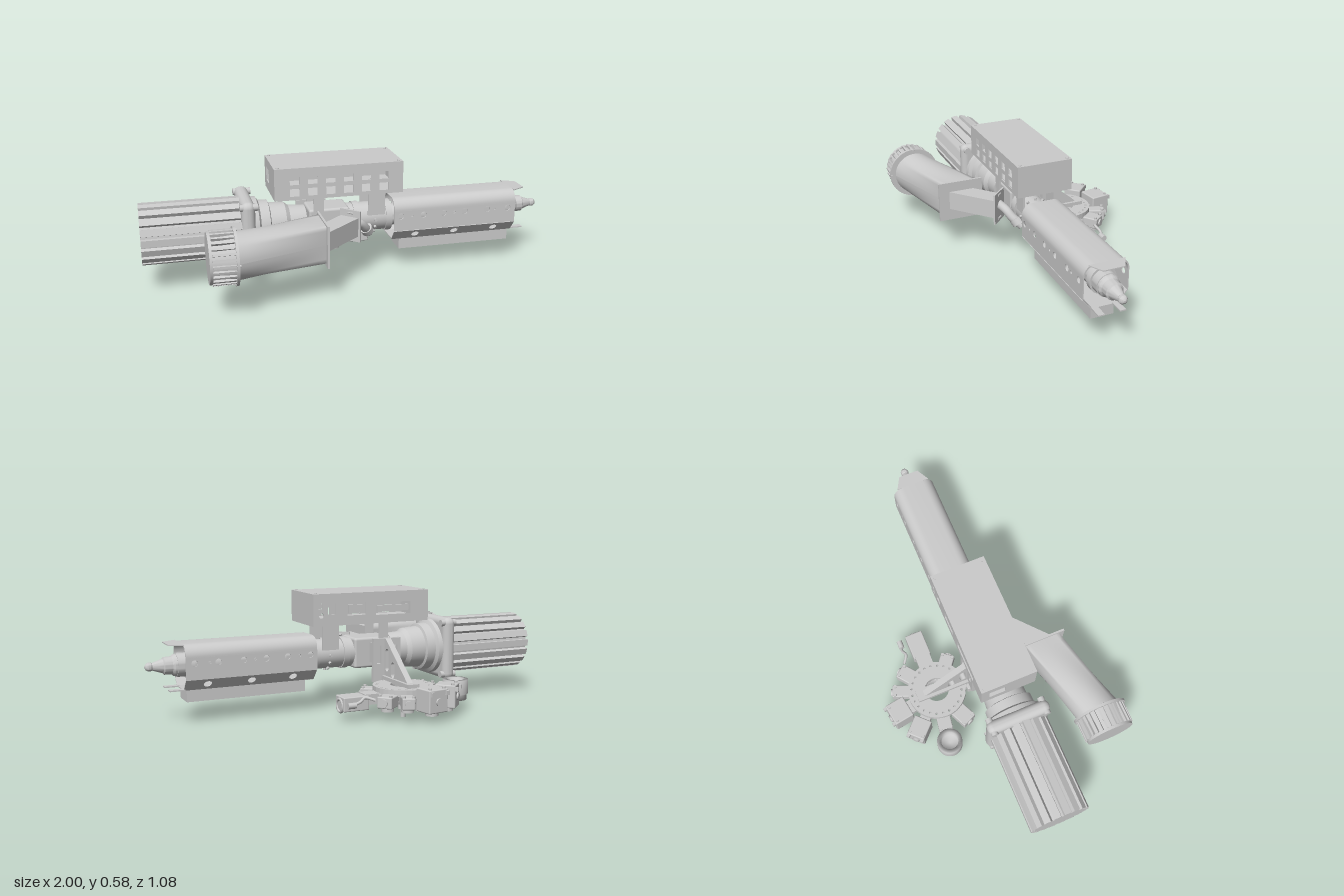
import * as THREE from 'three';
import { RoundedBoxGeometry } from 'three/addons/geometries/RoundedBoxGeometry.js';
import { toCreasedNormals } from 'three/addons/utils/BufferGeometryUtils.js';

const AY = 0.267, AZ = 0.015; // drive axis, running along x
const mat = new THREE.MeshStandardMaterial({ color: 0xcccccc, side: THREE.DoubleSide });

function add(parent, name, geo, x = 0, y = 0, z = 0, rx = 0, ry = 0, rz = 0) {
  const m = new THREE.Mesh(geo, mat);
  m.name = name;
  m.position.set(x, y, z);
  m.rotation.set(rx, ry, rz);
  parent.add(m);
  return m;
}
function group(parent, name, x = 0, y = 0, z = 0, ry = 0) {
  const g = new THREE.Group();
  g.name = name;
  g.position.set(x, y, z);
  g.rotation.y = ry;
  parent.add(g);
  return g;
}
const box = (w, h, d) => new THREE.BoxGeometry(w, h, d);
const cyl = (r, h, r2 = r, n = 28) => new THREE.CylinderGeometry(r, r2, h, n);
const poly = pts => new THREE.Shape(pts.map(p => new THREE.Vector2(...p)));
const extrude = (shape, depth) =>
  new THREE.ExtrudeGeometry(shape, { depth, bevelEnabled: false, curveSegments: 16 });
// Extrusion along +x; the shape's first coordinate is -z
const extrudeX = (shape, depth) => extrude(shape, depth).rotateY(Math.PI / 2);
// Turned part along x from [x, radius] pairs
const turned = pts => toCreasedNormals(new THREE.LatheGeometry(
  pts.map(([x, r]) => new THREE.Vector2(r, x)), 40).rotateZ(-Math.PI / 2), 0.5);
// Flat sheet with rectangular [x,y,w,h] or round [x,y,r] holes
function sheet(x0, y0, x1, y1, holes, t) {
  const s = poly([[x0, y0], [x1, y0], [x1, y1], [x0, y1]]);
  for (const [x, y, w, h] of holes) {
    const p = new THREE.Path();
    if (h) p.setFromPoints([[-1, -1], [-1, 1], [1, 1], [1, -1]].map(([a, b]) =>
      new THREE.Vector2(x + a * w / 2, y + b * h / 2)));
    else p.absarc(x, y, w, 0, Math.PI * 2, true);
    s.holes.push(p);
  }
  return extrude(s, t);
}

function buildDrive(root) {
  const g = group(root, 'drive', 0, AY, AZ);
  // Finned motor
  const n = 18, pts = [];
  for (let i = 0; i < n; i++)
    for (const [o, r] of [[-0.32, 0.146], [0.32, 0.146], [0.38, 0.127], [0.62, 0.127]]) {
      const a = (i + o) / n * Math.PI * 2;
      pts.push([r * Math.cos(a), r * Math.sin(a)]);
    }
  add(g, 'finnedMotor', extrudeX(poly(pts), 0.47), -1);
  // Square flange with corner bolts
  add(g, 'motorFlange', new RoundedBoxGeometry(0.065, 0.315, 0.315, 4, 0.03), -0.508);
  for (const sy of [-1, 1]) for (const sz of [-1, 1])
    add(g, 'flangeBolt', cyl(0.017, 0.085, 0.017, 12), -0.505, sy * 0.132, sz * 0.132, 0, 0, Math.PI / 2);
  add(g, 'gearbox', turned([[-0.48, 0], [-0.48, 0.14], [-0.455, 0.137], [-0.445, 0.12], [-0.4, 0.118],
    [-0.395, 0.105], [-0.32, 0.1], [-0.3, 0.085], [-0.22, 0.08], [-0.22, 0]]));
  add(g, 'feedBlock', new RoundedBoxGeometry(0.2, 0.15, 0.15, 3, 0.012), -0.11);
  // Barrel with heater bands and nozzle
  add(g, 'barrel', turned([[-0.02, 0], [-0.02, 0.072], [0.2, 0.072], [0.2, 0.055], [0.86, 0.055], [0.86, 0]]));
  for (const x of [0.03, 0.19, 0.36, 0.52, 0.68, 0.8])
    add(g, 'heaterBand', cyl(x < 0.2 ? 0.078 : 0.064, 0.03), x, 0, 0, 0, 0, Math.PI / 2);
  add(g, 'nozzle', turned([[0.84, 0.055], [0.87, 0.05], [0.88, 0.042], [0.915, 0.04], [0.92, 0.033],
    [0.968, 0.017], [0.972, 0.02], [0.985, 0.02], [0.995, 0.013], [1, 0.005], [1, 0]]));
  for (let i = 0; i < 6; i++)
    add(g, 'barrelBolt', cyl(0.007, 0.165, 0.007, 10), 0.12, 0, 0, i * Math.PI / 6);
}

function buildCover(root) {
  const g = group(root, 'barrelCover', 0, 0, AZ);
  // Rounded top band
  const band = (hw, top, inner) => {
    const s = [[hw, 0.31]];
    for (let i = 0; i <= 8; i++) {
      const a = i / 8 * Math.PI / 2;
      s.push([hw - 0.055 + 0.055 * Math.cos(a), top - 0.055 + 0.055 * Math.sin(a)]);
    }
    const all = s.concat(s.map(([x, y]) => [-x, y]).reverse());
    return inner ? all.reverse() : all;
  };
  const ring = band(0.107, 0.37).concat(band(0.102, 0.365, true));
  add(g, 'coverTop', toCreasedNormals(extrudeX(poly(ring), 0.635), 0.5), 0.205);
  add(g, 'coverLip', extrude(poly([[0.84, 0.085], [0.905, 0.05], [0.905, -0.05], [0.84, -0.085]]), 0.005),
    0, 0.37, 0, Math.PI / 2);
  // Perforated sides and slanted lower panels
  const holes = [0.24, 0.355, 0.46, 0.57, 0.69, 0.8].map(x => [x, 0.285, 0.015])
    .concat([0.295, 0.515, 0.73].map(x => [x, 0.285, 0.007]));
  const low = [0.32, 0.525, 0.735].map(x => [x, 0.035, 0.019]);
  for (const s of [-1, 1]) {
    add(g, 'coverSide', sheet(0.205, 0.21, 0.84, 0.312, holes, 0.005), 0, 0, s > 0 ? 0.102 : -0.107);
    add(g, 'coverLowerPanel', sheet(0.205, 0, 0.84, 0.07, low, 0.004), 0, 0.157, s * 0.06, s * 0.7);
    add(g, 'coverEndRim', box(0.07, 0.006, 0.03), 0.87, 0.16, s * 0.05);
  }
  add(g, 'coverFloor', box(0.635, 0.005, 0.12), 0.523, 0.158);
  add(g, 'lowerDuct', box(0.58, 0.058, 0.11), 0.535, 0.129, 0.005);
}

function buildControlBox(root) {
  const g = group(root, 'controlBox');
  const x0 = -0.385, x1 = 0.235, y0 = 0.42, y1 = 0.573, z0 = -0.12, z1 = 0.153, t = 0.006;
  const windows = [];
  for (let i = 0; i < 6; i++) for (const y of [0.456, 0.512]) windows.push([-0.29 + i * 0.086, y, 0.045, 0.037]);
  add(g, 'frontPanel', sheet(x0, y0, x1, y1, windows, t), 0, 0, z1 - t);
  add(g, 'backPanel', sheet(x0, y0, x1, y1, [[0.2, 0.515, 0.02, 0.03], [0.195, 0.47, 0.012], [0.14, 0.5, 0.04, 0.05],
    [0.01, 0.495, 0.1, 0.06], [-0.19, 0.49, 0.19, 0.06]], t), 0, 0, z0);
  add(g, 'socketInsert', box(0.08, 0.04, 0.012), 0.01, 0.495, z0 + 0.01);
  add(g, 'slotInsert', box(0.17, 0.03, 0.012), -0.19, 0.49, z0 + 0.01);
  add(g, 'endPanel', sheet(z0, y0, z1, y1, [[-0.04, 0.495, 0.08, 0.065]], t), x0, 0, 0, 0, -Math.PI / 2).position.x = x0 + t;
  add(g, 'plainEndPanel', box(t, y1 - y0, z1 - z0), x1 - t / 2, (y0 + y1) / 2, (z0 + z1) / 2);
  add(g, 'lid', box(x1 - x0, t, z1 - z0), (x0 + x1) / 2, y1 - t / 2, (z0 + z1) / 2);
  add(g, 'floor', box(x1 - x0 - 0.02, t, z1 - z0 - 0.02), (x0 + x1) / 2, y0 + 0.012, (z0 + z1) / 2);
  for (const x of [x0 + 0.018, x1 - 0.018]) for (const z of [z0 + 0.018, z1 - 0.018])
    add(g, 'lidScrew', cyl(0.007, 0.006, 0.007, 10), x, y1, z);
  // Support feet straddling the barrel
  for (const [x, w] of [[-0.165, 0.05], [0.122, 0.085]]) {
    for (const s of [-1, 1]) add(g, 'boxSupport', box(w, 0.13, 0.008), x, 0.36, AZ + s * 0.078);
    add(g, 'supportTop', box(w, 0.008, 0.164), x, 0.424, AZ);
  }
}

function buildHopper(root) {
  const g = group(root, 'hopper');
  // Square-to-round body
  const geo = new THREE.CylinderGeometry(1, 1, 1, 48, 10, true), p = geo.attributes.position;
  for (let i = 0; i < p.count; i++) {
    const t = p.getY(i) + 0.5, c = p.getX(i), s = p.getZ(i);
    const r = THREE.MathUtils.lerp(0.108, 0.088 / Math.max(Math.abs(c), Math.abs(s)), t);
    p.setXYZ(i, -0.6 + 0.41 * t, AY + 0.002 - c * r, 0.4 - 0.115 * t + s * r);
  }
  geo.computeVertexNormals();
  add(g, 'hopperBody', geo);
  add(g, 'hopperPlate', box(0.01, 0.2, 0.225), -0.187, 0.265, 0.288);
  // Ribbed cap with bolted rim
  const cap = group(g, 'cap', 0, 0.27, 0.405);
  add(cap, 'capRim', cyl(0.131, 0.012, 0.131, 40), -0.606, 0, 0, 0, 0, Math.PI / 2);
  add(cap, 'capBody', cyl(0.115, 0.112, 0.105, 40), -0.666, 0, 0, 0, 0, -Math.PI / 2);
  add(cap, 'capEnd', cyl(0.116, 0.014, 0.116, 40), -0.718, 0, 0, 0, 0, Math.PI / 2);
  for (let i = 0; i < 28; i++) {
    const a = i / 28 * Math.PI * 2;
    add(cap, 'capRib', box(0.1, 0.014, 0.01), -0.662, 0.116 * Math.cos(a), 0.116 * Math.sin(a), a);
    if (i % 7 === 0) add(cap, 'rimBolt', cyl(0.006, 0.02, 0.006, 10), -0.604, 0.122 * Math.cos(a), 0.122 * Math.sin(a), 0, 0, Math.PI / 2);
  }
  // Sloping neck to the feed throat
  add(g, 'neck', extrude(poly([[-0.185, 0.225], [-0.055, 0.11], [0.01, 0.18], [-0.185, 0.35]]), 0.092),
    0, 0.316, 0, Math.PI / 2);
  add(g, 'neckFlange', box(0.008, 0.155, 0.11), -0.022, 0.272, 0.148, 0, Math.PI / 4);
  const bend = new THREE.CatmullRomCurve3([[-0.03, 0.28, 0.145], [0.03, 0.27, 0.13], [0.06, 0.24, 0.11], [0.09, 0.2, 0.07]]
    .map(v => new THREE.Vector3(...v)));
  add(g, 'feedElbow', new THREE.TubeGeometry(bend, 20, 0.022, 14));
  add(g, 'elbowCollar', cyl(0.03, 0.03), 0.075, 0.222, 0.092, 0.5, 0, 0.5);
  for (const y of [-1, 1]) add(g, 'flangeBolt', cyl(0.007, 0.03, 0.007, 10), -0.02, 0.272 + y * 0.062, 0.148, 0, -Math.PI / 4, Math.PI / 2);
}

function buildCarousel(root) {
  const CX = -0.165, CZ = -0.265;
  const g = group(root, 'carousel', CX, 0, CZ);
  // Bracket holding the carousel to the feed block
  const back = sheet(-0.075, 0.125, 0.075, 0.34, [[0.045, 0.26, 0.025, 0.09], [-0.045, 0.26, 0.025, 0.09]], 0.02);
  add(g, 'bracketBack', back, 0, 0, 0.16);
  add(g, 'bracketMount', box(0.11, 0.1, 0.04), 0.02, 0.27, 0.195);
  const gusset = poly([[-0.17, 0.14], [-0.17, 0.34], [-0.15, 0.34], [0.07, 0.155], [0.07, 0.14]]);
  for (const [u, y, h] of [[-0.135, 0.235, 0.08], [-0.075, 0.195, 0.045]]) {
    const slot = new THREE.Path();
    slot.absarc(u, y + h / 2, 0.016, 0, Math.PI, false);
    slot.absarc(u, y - h / 2, 0.016, Math.PI, Math.PI * 2, false);
    gusset.holes.push(slot);
  }
  add(g, 'gusset', extrudeX(gusset, 0.03), -0.015);
  add(g, 'bracketBase', box(0.06, 0.022, 0.28), 0, 0.145, 0.035);
  // Index disc with a ring of holes and an inner hub ring
  const disc = new THREE.Shape().absarc(0, 0, 0.145, 0, Math.PI * 2);
  const hole = (r, d, a) => disc.holes.push(new THREE.Path().absarc(d * Math.cos(a), d * Math.sin(a), r, 0, Math.PI * 2, true));
  hole(0.06, 0, 0);
  for (let i = 0; i < 24; i++) hole(0.006, 0.125, (i + 0.5) / 24 * Math.PI * 2);
  add(g, 'indexDisc', extrude(disc, 0.03), 0, 0.138, 0, Math.PI / 2);
  add(g, 'hubRing', new THREE.LatheGeometry([[0.06, 0.06], [0.095, 0.06], [0.095, 0.12], [0.06, 0.12], [0.06, 0.06]]
    .map(v => new THREE.Vector2(...v)), 32));
  for (const [x, z] of [[-0.085, 0], [0.04, 0.08], [0.04, -0.073], [-0.03, 0.075]])
    add(g, 'pin', cyl(0.012, 0.09, 0.012, 14), x, 0.045, z);
  // Stations: angle in degrees, radial distance, length, width
  for (const [deg, d, l, w] of [[155, 0.18, 0.09, 0.08], [-135, 0.215, 0.1, 0.09], [-99, 0.215, 0.1, 0.11],
    [-68, 0.18, 0.09, 0.06], [-38, 0.18, 0.08, 0.075], [38, 0.165, 0.07, 0.07], [97, 0.18, 0.06, 0.07], [-171, 0.17, 0.08, 0.07]]) {
    const s = group(g, 'station', 0, 0, 0, -deg * Math.PI / 180);
    const tall = w > 0.085;
    add(s, 'stationArm', box(0.09, 0.03, w * 0.6), d - 0.06, 0.095);
    add(s, 'stationBlock', new RoundedBoxGeometry(l, tall ? 0.11 : 0.055, w, 2, 0.006), d, tall ? 0.103 : 0.09);
    add(s, 'stationPort', cyl(0.03, 0.025), d, tall ? 0.042 : 0.058);
    for (const e of [-1, 1]) add(s, 'stationScrew', cyl(0.008, 0.012, 0.008, 10), d + l * 0.35, tall ? 0.16 : 0.12, e * w * 0.36);
    if (tall) for (const e of [-1, 1]) add(s, 'stationTab', box(0.018, 0.02, 0.016), d + l / 2 + 0.004, 0.14, e * w * 0.4);
    add(s, 'sidePort', cyl(0.018, 0.016, 0.018, 18), d + l / 2, tall ? 0.1 : 0.09, 0, 0, 0, Math.PI / 2);
  }
  // Round sensor cup
  add(g, 'sensorCup', new THREE.LatheGeometry([[0, 0.05], [0.055, 0.05], [0.055, 0.075], [0.062, 0.08], [0.062, 0.15],
    [0.042, 0.15], [0.042, 0.1], [0, 0.1]].map(v => new THREE.Vector2(...v)), 32), -0.27, 0, -0.04);
  // Long side actuator with a round outlet and hose
  add(g, 'actuatorArm', box(0.1, 0.05, 0.075), 0.17, 0.09);
  add(g, 'actuatorBody', new RoundedBoxGeometry(0.13, 0.068, 0.09, 2, 0.005), 0.268, 0.077);
  add(g, 'actuatorOutlet', new THREE.TorusGeometry(0.03, 0.007, 10, 28), 0.332, 0.068, 0, 0, Math.PI / 2);
  const hose = new THREE.CatmullRomCurve3([[0.2, 0.1, -0.1], [0.24, 0.11, -0.075], [0.27, 0.095, -0.085], [0.31, 0.08, -0.08]]
    .map(v => new THREE.Vector3(...v)));
  add(g, 'hose', new THREE.TubeGeometry(hose, 20, 0.007, 10));
  add(g, 'hoseFitting', cyl(0.014, 0.04, 0.014, 14), 0.31, 0.08, -0.08, 0, 0, Math.PI / 2);
}

export function createModel() {
  const root = new THREE.Group();
  root.name = 'extruderUnit';
  [buildDrive, buildCover, buildControlBox, buildHopper, buildCarousel].forEach(build => build(root));
  return root;
}
